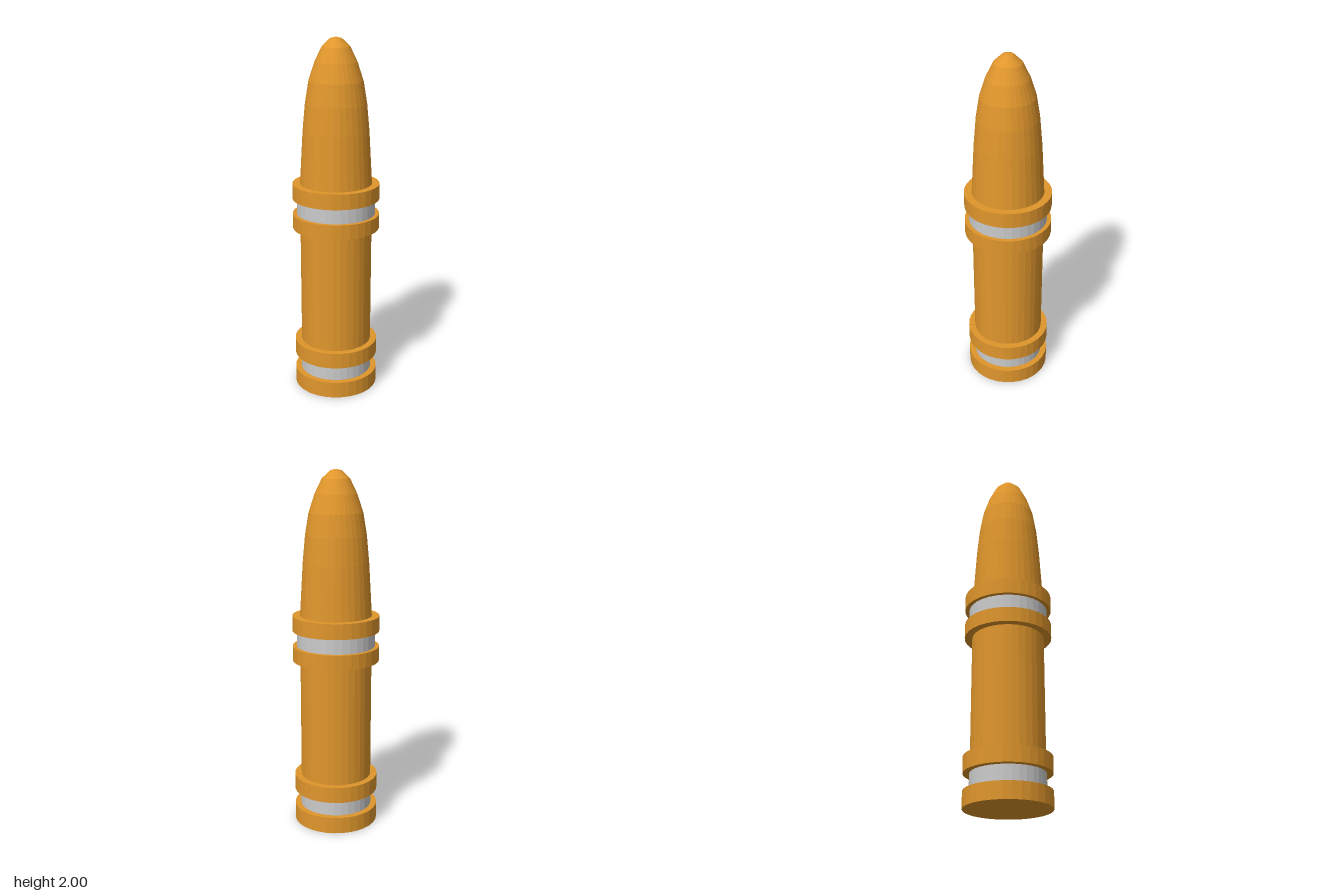
import * as THREE from 'three';

const SIDES = 32;

export function createModel() {
  const group = new THREE.Group();
  const brass = new THREE.MeshStandardMaterial({ color: 0xe0962c, flatShading: true });
  const grey = new THREE.MeshStandardMaterial({ color: 0xcccccc, flatShading: true });

  const add = (name, geometry, material) => {
    const mesh = new THREE.Mesh(geometry, material);
    mesh.name = name;
    group.add(mesh);
  };

  // A round section between two heights
  const drum = (name, radius, y0, y1, material) => {
    const geometry = new THREE.CylinderGeometry(radius, radius, y1 - y0, SIDES);
    add(name, geometry.translate(0, (y0 + y1) / 2, 0), material);
  };

  // Base: two rims around a grey groove
  drum('baseRim', 0.237, 0, 0.093, brass);
  drum('baseGroove', 0.203, 0.093, 0.185, grey);
  drum('baseUpperRim', 0.237, 0.185, 0.275, brass);

  // Straight casing
  drum('casing', 0.2, 0.275, 0.953, brass);

  // Collar: two rims around a grey band
  drum('collarLowerRim', 0.242, 0.953, 1.036, brass);
  drum('collarBand', 0.219, 1.036, 1.122, grey);
  drum('collarUpperRim', 0.242, 1.122, 1.208, brass);

  // Rounded nose
  const profile = [
    [0.2, 1.2], [0.182, 1.5], [0.168, 1.65], [0.148, 1.77],
    [0.115, 1.87], [0.076, 1.95], [0.031, 1.993], [0, 2],
  ].map(([r, y]) => new THREE.Vector2(r, y));
  add('nose', new THREE.LatheGeometry(profile, SIDES), brass);

  return group;
}
